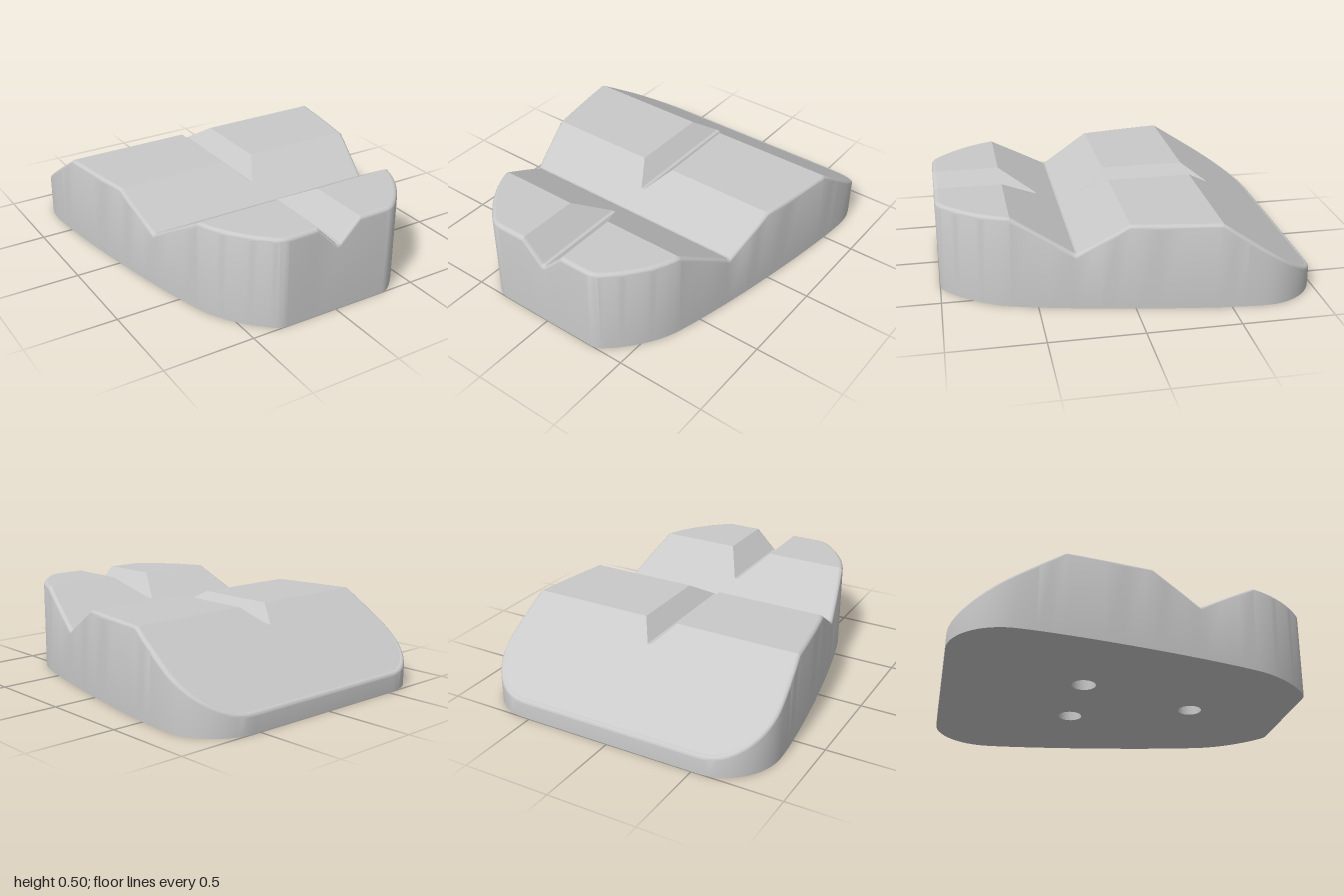
import * as THREE from 'three';
import { toCreasedNormals } from 'three/addons/utils/BufferGeometryUtils.js';

const R = 0.022; // rounding of the upper rim
const FLOOR = 0.385; // bottom of the lengthwise groove
// side profile as [z, y], back to front
const PROFILE = [[-1, 0.093], [-0.44, 0.473], [0.03, 0.473], [0.295, 0.31], [0.305, 0.31], [0.63, 0.504], [1, 0.504]];
const HOLES = [[0.23, -0.238], [-0.23, -0.238], [0, 0.425]];
const HOLE_R = 0.067;

function profileY(z) {
  for (let i = 1; i < PROFILE.length; i++) {
    const [z0, y0] = PROFILE[i - 1], [z1, y1] = PROFILE[i];
    if (z <= z1) return y0 + (y1 - y0) * (z - z0) / (z1 - z0);
  }
  return PROFILE.at(-1)[1];
}
const topY = (x, z) => Math.min(profileY(z), Math.max(FLOOR, FLOOR - 0.01 + Math.abs(x)));

// Right half of the plan outline, inset by the rim radius, with outward normals
function halfOutline() {
  const v = (x, z) => new THREE.Vector2(x, z);
  const curves = [
    [v(0.54, -1), v(0.7, -1), v(0.835, -0.86), v(0.835, -0.69)],
    [v(0.835, -0.69), v(0.835, -0.5), v(0.73, 0.2), v(0.605, 0.63)],
    [v(0.605, 0.63), v(0.565, 0.77), v(0.46, 0.9), v(0.36, 0.98)],
    [v(0.36, 0.98), v(0.34, 0.994), v(0.32, 1), v(0.3, 1)],
  ].map(p => new THREE.CubicBezierCurve(...p));
  const pts = [];
  const N = 14;
  curves.forEach((c, k) => {
    for (let i = 0; i < N + (k === 3 ? 1 : 0); i++) {
      const p = c.getPoint(i / N), t = c.getTangent(i / N);
      pts.push({ x: p.x - t.y * R, z: p.y + t.x * R, nx: t.y, nz: -t.x });
    }
  });
  // add rows on the profile bends and where the groove runs out
  const bends = PROFILE.slice(1, -1).map(p => p[0]);
  for (let i = 1; i < PROFILE.length; i++) {
    const [z0, y0] = PROFILE[i - 1], [z1, y1] = PROFILE[i];
    if ((y0 - FLOOR) * (y1 - FLOOR) < 0) bends.push(z0 + (z1 - z0) * (FLOOR - y0) / (y1 - y0));
  }
  for (const z of bends) {
    const i = pts.findIndex(p => p.z > z), a = pts[i - 1], b = pts[i];
    const t = (z - a.z) / (b.z - a.z), mix = k => a[k] + (b[k] - a[k]) * t;
    pts.splice(i, 0, { x: mix('x'), z, nx: mix('nx'), nz: mix('nz') });
  }
  return pts;
}

// Quad surface from a list of rows of [x, y, z]
function gridGeometry(rows) {
  const n = rows[0].length, index = [];
  for (let i = 0; i < rows.length - 1; i++) {
    for (let j = 0; j < n - 1; j++) {
      const a = i * n + j, b = a + 1, c = a + n, d = c + 1;
      index.push(a, c, b, b, c, d);
    }
  }
  const g = new THREE.BufferGeometry();
  g.setAttribute('position', new THREE.Float32BufferAttribute(rows.flat(2), 3));
  g.setIndex(index);
  return g;
}

export function createModel() {
  const group = new THREE.Group();
  group.name = 'notchedBlock';
  const grey = new THREE.MeshStandardMaterial({ color: 0xc9c9c9 });
  grey.name = 'light grey';
  const add = (name, geometry, crease = 0.48) => {
    const mesh = new THREE.Mesh(toCreasedNormals(geometry, crease), grey);
    mesh.name = name;
    group.add(mesh);
    return mesh;
  };

  const half = halfOutline();

  // Top: stepped profile with the V groove along the middle
  const topRows = half.map(({ x, z }) => {
    const g = Math.max(0, profileY(z) - FLOOR + 0.01), b = Math.min(0.01, g);
    return [-x, -g, -b, b, g, x].map(px => [px, topY(px, z), z]);
  });
  add('notchedTop', gridGeometry(topRows), 0.3);

  // Closed plan loop: right side, front edge across the groove, left side
  const front = topRows.at(-1).slice(1, -1).reverse().map(([x, , z]) => ({ x, z, nx: 0, nz: 1 }));
  const left = half.map(p => ({ ...p, x: -p.x, nx: -p.nx })).reverse();
  const loop = [...half, ...front, ...left];
  const closed = [...loop, loop[0]];

  // Rounded rim and upright wall, from the ground up
  const ring = (a, y) => closed.map(p => [
    p.x + p.nx * R * Math.sin(a),
    y ?? topY(p.x, p.z) - R * (1 - Math.cos(a)),
    p.z + p.nz * R * Math.sin(a),
  ]);
  const rings = [ring(Math.PI / 2, 0)];
  for (let i = 5; i >= 0; i--) rings.push(ring(i / 5 * Math.PI / 2));
  add('sideWall', gridGeometry(rings), 0.6);

  // Underside with three round holes
  const shape = new THREE.Shape(loop.map(p => new THREE.Vector2(p.x + p.nx * R, p.z + p.nz * R)));
  for (const [x, z] of HOLES) {
    shape.holes.push(new THREE.Path().absarc(x, z, HOLE_R, 0, Math.PI * 2, true));
  }
  add('underside', new THREE.ShapeGeometry(shape, 16).rotateX(Math.PI / 2));

  // Blind hole linings
  const lining = [[0, 0.2], [HOLE_R, 0.2], [HOLE_R, 0]].map(p => new THREE.Vector2(...p));
  for (const [x, z] of HOLES) {
    add('hole', new THREE.LatheGeometry(lining, 32)).position.set(x, 0, z);
  }
  return group;
}
